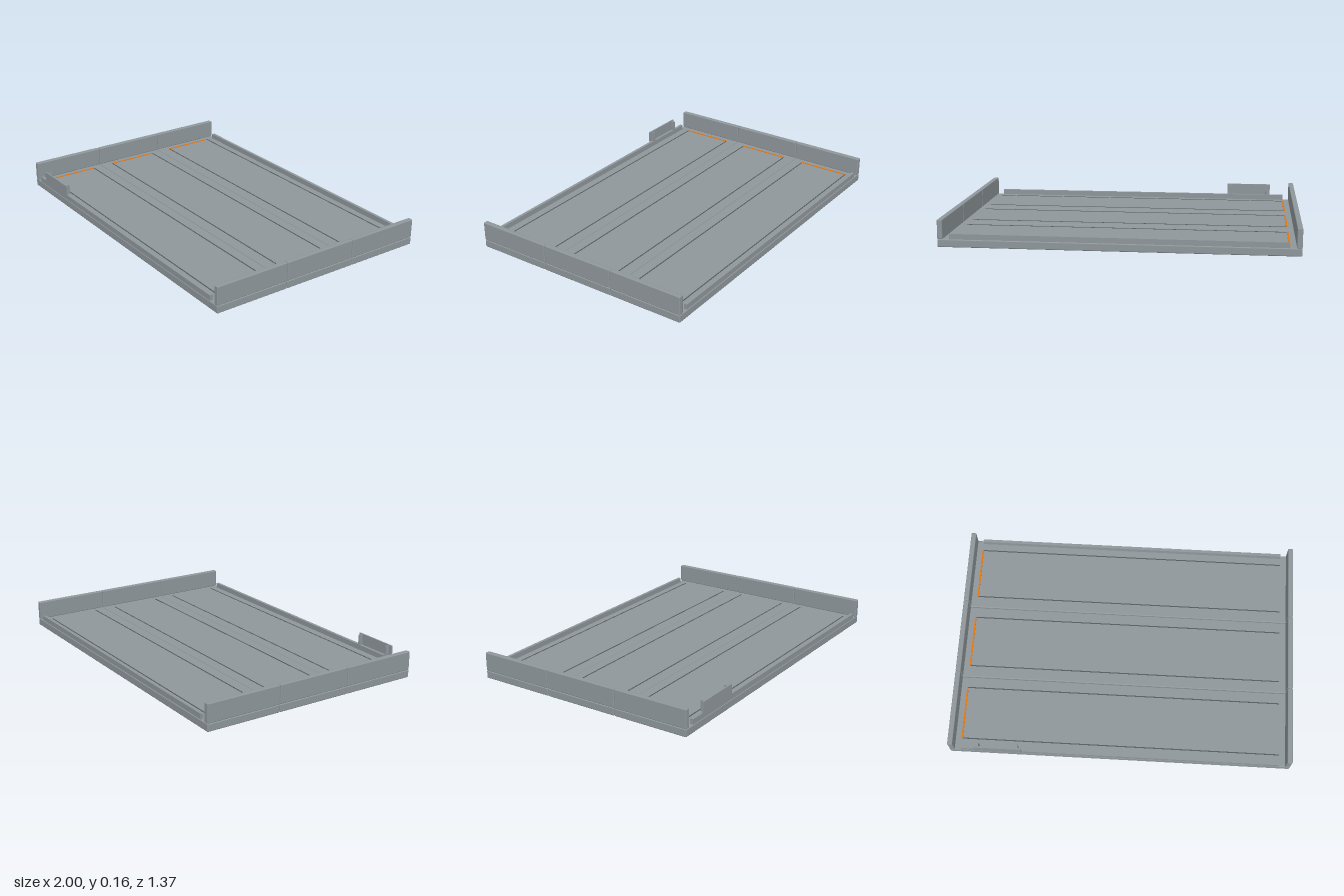
import * as THREE from 'three';
import { RoundedBoxGeometry } from 'three/addons/geometries/RoundedBoxGeometry.js';

const steel = new THREE.MeshStandardMaterial({ name: 'steelGrey', color: 0x8f979b });
const dark = new THREE.MeshStandardMaterial({ name: 'darkGrey', color: 0x555b5f });
const orange = new THREE.MeshStandardMaterial({ name: 'orange', color: 0xe8760a });

// Box given by its min and max corners; radius > 0 rounds the edges
function block(name, [x0, y0, z0], [x1, y1, z1], material, radius = 0) {
  const size = [x1 - x0, y1 - y0, z1 - z0];
  const geometry = radius
    ? new RoundedBoxGeometry(...size, 2, radius)
    : new THREE.BoxGeometry(...size);
  const mesh = new THREE.Mesh(geometry, material);
  mesh.name = name;
  mesh.position.set((x0 + x1) / 2, (y0 + y1) / 2, (z0 + z1) / 2);
  return mesh;
}

export function createModel() {
  const model = new THREE.Group();
  model.name = 'panelledTray';
  const backZ = -0.683, pitch = 0.4535, deckY = 0.045, railX = 0.933;

  // Three identical panels side by side
  for (let i = 0; i < 3; i++) {
    const z0 = backZ + i * pitch, z1 = z0 + pitch - 0.002;
    const panel = new THREE.Group();
    panel.name = `panel${i + 1}`;
    panel.add(block('deck', [-1, 0, z0], [1, deckY, z1], steel, 0.006));

    // Upright end walls
    for (const side of [-1, 1]) {
      const xs = [side, side * 0.97].sort((a, b) => a - b);
      panel.add(block(side < 0 ? 'rightWall' : 'leftWall',
        [xs[0], deckY, z0], [xs[1], 0.155, z1], steel, 0.005));
    }

    // Two long dark lines joined by an orange line at one end
    const middle = z0 + pitch / 2 - 0.003;
    for (const s of [-1, 1]) {
      const z = middle + s * 0.157;
      panel.add(block('guideLine', [-railX, deckY, z - 0.003],
        [railX, deckY + 0.002, z + 0.003], dark));
    }
    panel.add(block('endLine', [-railX - 0.005, deckY, middle - 0.157],
      [-railX + 0.004, deckY + 0.003, middle + 0.157], orange));
    model.add(panel);
  }

  // Low rails along the long edges
  model.add(block('backRail', [-railX, deckY, -0.68], [railX, 0.076, -0.662], steel));
  model.add(block('frontRail', [-railX, deckY, 0.656], [railX, 0.076, 0.674], steel));

  // Small plate on two fins above the front rail
  const bracket = new THREE.Group();
  bracket.name = 'bracket';
  bracket.add(block('plate', [-0.85, 0.076, 0.674], [-0.573, 0.142, 0.683], steel));
  for (const x of [-0.826, -0.597]) {
    bracket.add(block('fin', [x - 0.005, 0.076, 0.65], [x + 0.005, 0.138, 0.674], steel));
  }
  model.add(bracket);
  return model;
}
